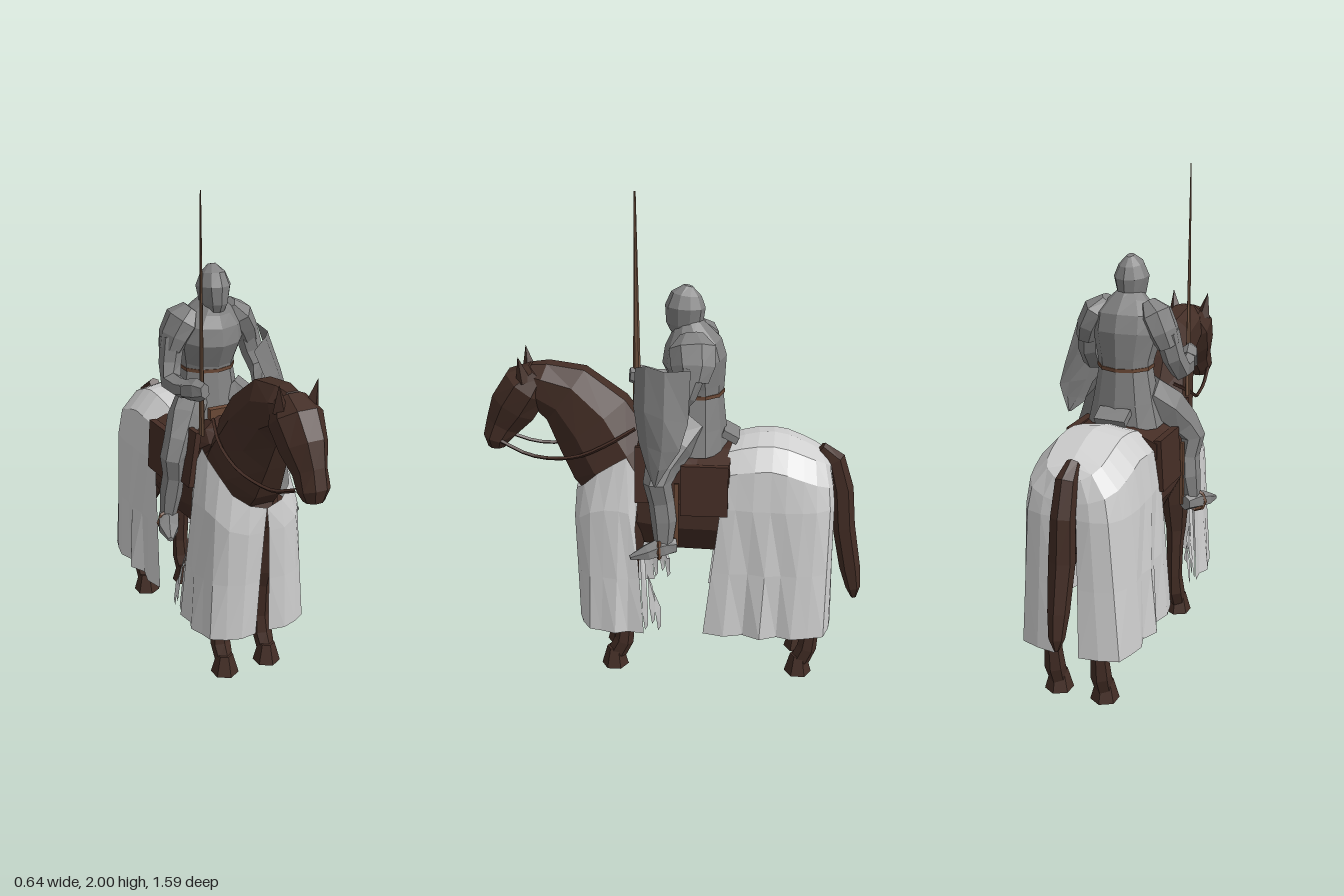
import * as THREE from 'three';

const mat = (name, color, side = THREE.FrontSide) => {
  const m = new THREE.MeshStandardMaterial({ color, side });
  m.name = name;
  return m;
};

// Flat facets: unshared corners with face normals
function facet(geo) {
  const g = geo.index ? geo.toNonIndexed() : geo;
  g.computeVertexNormals();
  return g;
}

function fromQuads(pos, idx) {
  const g = new THREE.BufferGeometry();
  g.setAttribute('position', new THREE.Float32BufferAttribute(pos, 3));
  g.setIndex(idx);
  return facet(g);
}

// Closed skin over elliptical sections [x, y, z, half width, half depth]; s mirrors x
function loft(sections, n = 8, s = 1) {
  const c = sections.map(p => new THREE.Vector3(p[0] * s, p[1], p[2]));
  const pos = [], idx = [], last = c.length - 1;
  c.forEach((p, i) => {
    const t = c[Math.min(i + 1, last)].clone().sub(c[Math.max(i - 1, 0)]).normalize();
    const side = new THREE.Vector3(1, 0, 0).addScaledVector(t, -t.x).normalize();
    const up = t.clone().cross(side);
    for (let j = 0; j < n; j++) {
      const a = (j + 0.5) / n * Math.PI * 2;
      const v = p.clone().addScaledVector(side, Math.cos(a) * sections[i][3] * 1.04)
        .addScaledVector(up, Math.sin(a) * sections[i][4] * 1.04);
      pos.push(v.x, v.y, v.z);
    }
  });
  for (let i = 0; i < last; i++) for (let j = 0; j < n; j++) {
    const k = (j + 1) % n, a = i * n + j, b = i * n + k;
    idx.push(a, b, b + n, a, b + n, a + n);
  }
  for (const [row, flip] of [[0, true], [last, false]]) {
    const m = pos.length / 3;
    pos.push(c[row].x, c[row].y, c[row].z);
    for (let j = 0; j < n; j++) {
      const a = row * n + j, b = row * n + (j + 1) % n;
      idx.push(m, ...(flip ? [b, a] : [a, b]));
    }
  }
  return fromQuads(pos, idx);
}

// Open sheet through columns of points
function sheet(cols, s = 1) {
  const rows = cols[0].length, idx = [];
  const pos = cols.flat().flatMap(p => [p[0] * s, p[1], p[2]]);
  for (let i = 0; i < cols.length - 1; i++) for (let j = 0; j < rows - 1; j++) {
    const a = i * rows + j, b = a + rows;
    idx.push(a, a + 1, b + 1, a, b + 1, b);
  }
  return fromQuads(pos, idx);
}

export function createModel() {
  const coat = mat('horse brown', 0x432d25);
  const leather = mat('saddle brown', 0x452d25);
  const tan = mat('strap tan', 0x6a4835);
  const wood = mat('lance wood', 0x70523f);
  const steel = mat('armour grey', 0x828282);
  const shieldSteel = mat('shield grey', 0x7f7f7f, THREE.DoubleSide);
  const cloth = mat('cloth grey', 0xd0d0d0, THREE.DoubleSide);

  const model = new THREE.Group();
  model.name = 'mountedKnight';
  const horse = new THREE.Group(), rider = new THREE.Group();
  horse.name = 'horse';
  rider.name = 'rider';
  horse.position.x = rider.position.x = -0.01;
  model.add(horse, rider);
  const add = (parent, name, geo, m) => {
    const mesh = new THREE.Mesh(geo, m);
    mesh.name = name;
    parent.add(mesh);
    return mesh;
  };
  const box = (w, h, d) => facet(new THREE.BoxGeometry(w, h, d));

  // Horse trunk, neck, head and tail
  add(horse, 'body', loft([[0, .85, -.63, .08, .1], [0, .82, -.55, .15, .19], [0, .8, -.4, .18, .235],
    [0, .77, -.2, .175, .235], [0, .77, 0, .17, .23], [0, .79, .18, .155, .22],
    [0, .8, .29, .115, .16], [0, .82, .36, .05, .08]], 10), coat);
  add(horse, 'neck', loft([[0, .87, .2, .145, .18], [0, .95, .25, .135, .195], [0, 1.095, .335, .105, .18],
    [0, 1.21, .44, .085, .14], [0, 1.25, .545, .08, .1], [0, 1.27, .6, .06, .07]]), coat);
  add(horse, 'head', loft([[0, 1.3, .55, .065, .05], [0, 1.24, .602, .1, .1], [0, 1.15, .66, .085, .1],
    [0, 1.07, .708, .06, .074], [0, 1.01, .738, .06, .056], [0, .97, .74, .04, .036]]), coat);
  add(horse, 'tail', loft([[-.01, 1.0, -.6, .025, .025], [-.01, .95, -.66, .04, .04], [-.01, .82, -.695, .045, .045],
    [-.01, .65, -.71, .05, .045], [-.01, .46, -.745, .04, .042], [-.01, .36, -.765, .03, .03],
    [-.01, .31, -.77, .008, .01]], 6), coat);

  for (const s of [1, -1]) {
    const side = s > 0 ? 'left' : 'right';
    const ear = add(horse, side + 'Ear', facet(new THREE.ConeGeometry(.032, .11, 4)), coat);
    ear.position.set(.073 * s, 1.33, .61);
    ear.rotation.set(.15, 0, -.15 * s);

    // Horse legs and hooves
    add(horse, side + 'FrontLeg', loft([[.1, .75, .2, .07, .11], [.1, .56, .2, .055, .07], [.1, .42, .215, .04, .05],
      [.1, .35, .205, .035, .038], [.1, .2, .2, .032, .033], [.1, .12, .21, .04, .04],
      [.1, .06, .24, .035, .04]], 6, s), coat);
    add(horse, side + 'BackLeg', loft([[.11, .82, -.43, .08, .15], [.11, .62, -.46, .075, .11], [.105, .46, -.55, .045, .06],
      [.1, .37, -.59, .038, .048], [.1, .2, -.585, .034, .035], [.1, .12, -.575, .04, .04],
      [.1, .06, -.55, .035, .04]], 6, s), coat);
    for (const [end, z] of [['Front', .25], ['Back', -.54]]) {
      const hoof = add(horse, side + end + 'Hoof', facet(new THREE.CylinderGeometry(.034, .058, .085, 6)), coat);
      hoof.position.set(.1 * s, .0425, z);
    }

    // Rear cloth: each column gives spine z, spine y, shoulder x and z, hem x and z
    const rear = [[-.245, 1.035, .195, -.2, .215, -.135], [-.29, 1.05, .2, -.26, .235, -.22],
      [-.35, 1.063, .21, -.33, .215, -.3], [-.41, 1.066, .21, -.4, .25, -.37],
      [-.47, 1.055, .215, -.46, .22, -.44], [-.53, 1.03, .21, -.53, .24, -.5],
      [-.57, 1.01, .2, -.585, .225, -.57], [-.6, .99, .165, -.64, .205, -.635],
      [-.62, .97, .1, -.66, .13, -.66], [-.63, .96, .045, -.66, .05, -.67]];
    add(horse, side + 'RearCloth', sheet(rear.map(([z, y, x1, z1, x2, z2]) => {
      const mix = k => z + (z1 - z) * k;
      return [[0, y, z], [.55 * x1, y - .02, mix(.4)], [.9 * x1, y - .1, mix(.8)], [x1, .8, z1],
        [(x1 + x2) / 2, .52, (z1 + z2) / 2], [x2, .235, z2]];
    }), s), cloth);

    // Front cloth: top point, bulge point and hem of each column
    const front = [[0, .8, .41, .01, .7, .41, .03, .385], [.07, .82, .4, .08, .7, .41, .1, .395],
      [.125, .86, .36, .15, .72, .38, .16, .375], [.15, .92, .3, .185, .76, .33, .215, .34],
      [.165, .97, .23, .2, .78, .27, .225, .29], [.165, 1.0, .18, .205, .78, .21, .245, .23],
      [.17, .94, .145, .205, .77, .17, .225, .18], [.18, .86, .13, .2, .7, .145, .235, .11]];
    add(horse, side + 'FrontCloth', sheet(front.map(([x, y, z, bx, by, bz, hx, hz]) =>
      [[x, y, z], [bx, by, bz], [(bx + hx) / 2, .48, (bz + hz) / 2], [hx, .235, hz]]), s), cloth);

    // Torn strips behind the front cloth
    for (const [z, top, low] of [[.105, .62, .25], [.075, .5, .28], [.05, .42, .25]]) {
      add(horse, side + 'ClothTatter', sheet([[[.205, top, z + .02], [.225, low + .08, z + .012], [.23, low, z]],
        [[.2, top - .06, z], [.22, low + .1, z - .012], [.23, low + .02, z - .012]]], s), cloth);
    }

    // Saddle panels, stirrup and rein
    const flap = add(horse, side + 'SaddleFlap', box(.025, .23, .19), leather);
    flap.position.set(.178 * s, .935, .05);
    flap.rotation.z = .15 * s;
    const panel = add(horse, side + 'SaddlePanel', box(.03, .21, .19), leather);
    panel.position.set(.195 * s, .88, -.135);
    panel.rotation.z = .06 * s;
    const strap = add(horse, side + 'StirrupStrap', box(.012, .27, .018), tan);
    strap.position.set(.215 * s, .78, -.025);
    const stirrup = add(horse, side + 'Stirrup', facet(new THREE.TorusGeometry(.045, .008, 4, 8)), tan);
    stirrup.position.set(.25 * s, .645, .04);
    const path = new THREE.CatmullRomCurve3([[.055, 1.01, .71], [.075, .965, .6], [.09, .955, .5], [.12, .98, .38],
      [.13, 1.04, .26], [.1, 1.1, .15]].map(p => new THREE.Vector3(p[0] * s, p[1], p[2])));
    add(horse, side + 'Rein', facet(new THREE.TubeGeometry(path, 12, .008, 4)), leather);

    // Rider leg and pointed foot
    add(rider, side + 'Leg', loft([[.08, 1.13, -.07, .065, .075], [.145, 1.06, -.01, .07, .08], [.2, .98, .035, .055, .065],
      [.232, .92, .05, .047, .055], [.222, .84, .035, .04, .05], [.23, .76, .025, .042, .05],
      [.245, .66, .025, .03, .035]], 6, s), steel);
    add(rider, side + 'Foot', loft([[.23, .65, -.025, .025, .03], [.245, .65, .03, .045, .04],
      [.272, .635, .09, .042, .03], [.295, .62, .155, .012, .01]], 6, s), steel);

    // Shoulder plate
    add(rider, side + 'Pauldron', loft([[.085, 1.495, -.075, .025, .045], [.12, 1.45, -.08, .058, .09],
      [.155, 1.385, -.085, .052, .085], [.175, 1.33, -.08, .042, .065]], 7, s), steel);
  }

  // Saddle seat, pommel and raised back
  add(horse, 'saddle', loft([[0, .94, -.235, .195, .08], [0, .94, -.1, .195, .08], [0, .96, .04, .175, .09],
    [0, 1.02, .13, .12, .08], [0, 1.04, .155, .07, .05]]), leather);
  const pommel = add(horse, 'pommel', box(.16, .045, .03), tan);
  pommel.position.set(0, 1.09, .075);
  const cantle = add(horse, 'cantle', box(.13, .03, .07), steel);
  cantle.position.set(0, 1.06, -.23);
  cantle.rotation.x = -.5;

  // Rider torso, belt and helmet
  add(rider, 'surcoat', loft([[0, 1, -.1, .15, .115], [0, 1.1, -.1, .128, .108], [0, 1.23, -.1, .105, .095],
    [0, 1.27, -.1, .11, .1], [0, 1.37, -.08, .135, .125], [0, 1.44, -.075, .13, .11],
    [0, 1.49, -.06, .085, .075], [0, 1.53, -.05, .045, .05]], 10), steel);
  add(rider, 'belt', loft([[0, 1.232, -.1, .11, .1], [0, 1.246, -.1, .11, .1]], 10), tan);
  add(rider, 'helmet', loft([[0, 1.485, -.04, .038, .055], [0, 1.515, -.04, .052, .07], [0, 1.585, -.043, .066, .077],
    [0, 1.635, -.047, .046, .058], [0, 1.667, -.055, .014, .018]], 10), steel);

  // Arms: right hand holds the lance, left carries the shield
  add(rider, 'rightArm', loft([[-.165, 1.38, -.08, .045, .06], [-.185, 1.28, -.06, .042, .05], [-.2, 1.22, -.02, .04, .045],
    [-.195, 1.215, .06, .036, .04], [-.18, 1.23, .13, .028, .03]], 6), steel);
  add(rider, 'rightGauntlet', loft([[-.185, 1.22, .1, .042, .04], [-.17, 1.235, .16, .036, .045],
    [-.16, 1.24, .2, .022, .03]], 6), steel);
  add(rider, 'leftArm', loft([[.165, 1.38, -.08, .045, .06], [.185, 1.28, -.05, .042, .05], [.195, 1.22, 0, .042, .045],
    [.16, 1.2, .07, .038, .04], [.13, 1.19, .12, .03, .035]], 6), steel);
  const lance = add(model, 'lance', facet(new THREE.CylinderGeometry(.004, .019, .95, 6)), wood);
  lance.position.set(-.17, 1.525, .17);
  lance.scale.x = .45;
  lance.rotation.y = Math.PI;

  // Curved shield tapering to a point
  const shield = [
    [[.07, 1.35, .15], [.13, 1.21, .152], [.19, 1.08, .125], [.255, 1.0, .09], [.315, .95, .055]],
    [[.15, 1.385, .1], [.215, 1.22, .1], [.255, 1.09, .085], [.29, 1.01, .07], [.32, .95, .05]],
    [[.205, 1.38, .02], [.27, 1.21, .02], [.305, 1.09, .025], [.32, 1.02, .035], [.322, .95, .05]],
    [[.21, 1.39, -.08], [.275, 1.2, -.075], [.315, 1.1, -.045], [.322, 1.03, 0], [.322, .95, .045]]];
  add(model, 'shield', sheet(shield), shieldSteel);

  return model;
}
